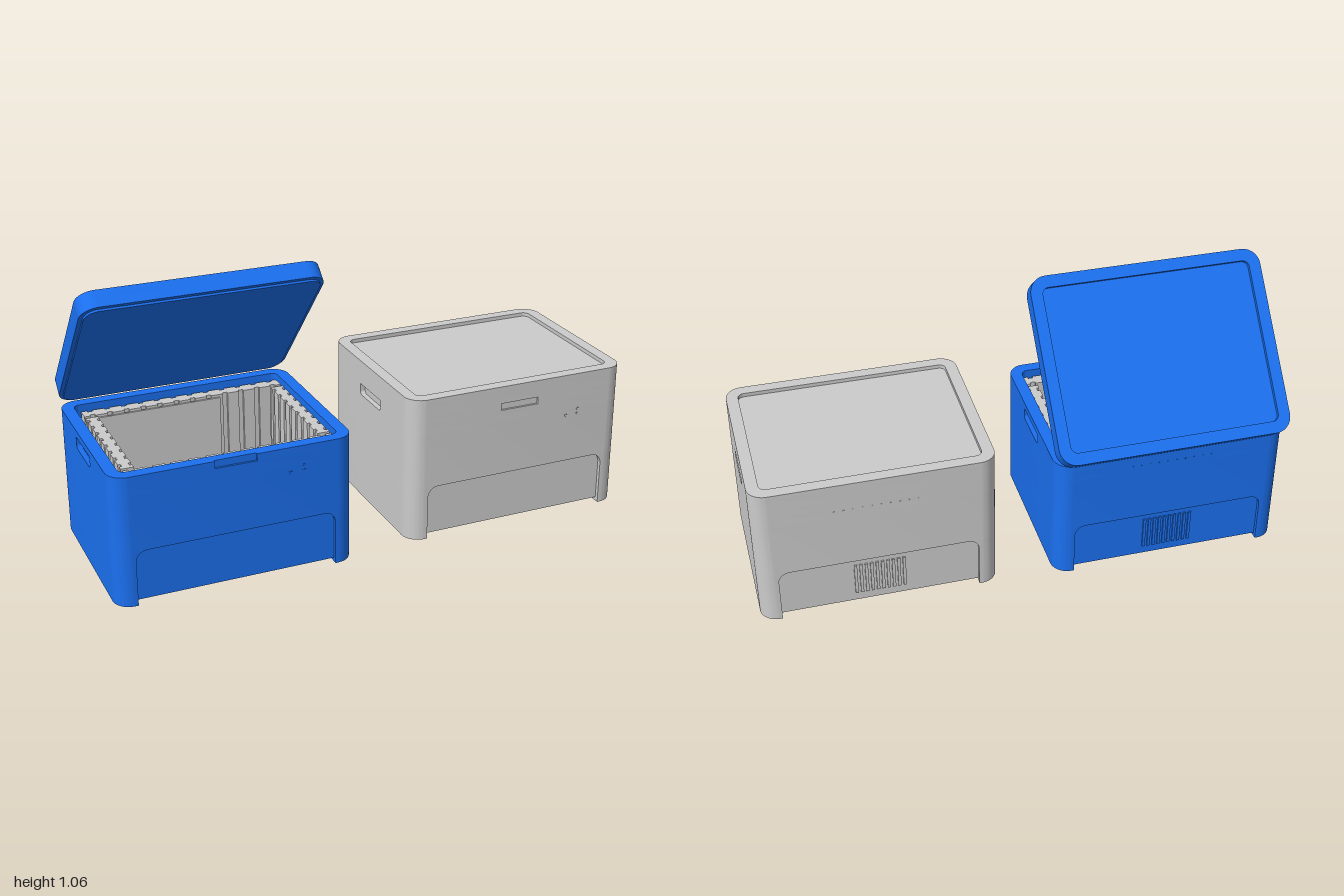
import * as THREE from 'three';
import { toCreasedNormals } from 'three/addons/utils/BufferGeometryUtils.js';

const W = 0.89, D = 0.70, R = 0.065;        // footprint and corner radius
const H = 0.495, LID = 0.067, RIM = 0.045;  // body height, lid height, rim width
const FLOOR = 0.015, PANEL_TOP = 0.21, PANEL_X = 0.37, RECESS = 0.015;
const GRIP = { y0: 0.425, y1: 0.468, half: 0.09, depth: 0.02 };

const grey = new THREE.MeshStandardMaterial({ color: 0xcccccc });
const blue = new THREE.MeshStandardMaterial({ color: 0x1b70f0 });

function add(group, name, geometry, material, x = 0, y = 0, z = 0) {
  const mesh = new THREE.Mesh(geometry, material);
  mesh.name = name;
  mesh.position.set(x, y, z);
  group.add(mesh);
  return mesh;
}

// Rounded rectangle in plan; notches are [half width, depth] cut into an edge
function outline(w, d, r, { front, back, side } = {}, Type = THREE.Shape) {
  const s = new Type(), x = w / 2, z = d / 2;
  s.moveTo(-x + r, -z);
  if (front) {
    const [h, n] = front;
    s.lineTo(-h, -z).lineTo(-h, -z + n).lineTo(h, -z + n).lineTo(h, -z);
  }
  s.absarc(x - r, -z + r, r, -Math.PI / 2, 0, false);
  if (side) {
    const [h, n] = side;
    s.lineTo(x, -h).lineTo(x - n, -h).lineTo(x - n, h).lineTo(x, h);
  }
  s.absarc(x - r, z - r, r, 0, Math.PI / 2, false);
  if (back) {
    const [h, n] = back;
    s.lineTo(h, z).lineTo(h, z - n).lineTo(-h, z - n).lineTo(-h, z);
  }
  s.absarc(-x + r, z - r, r, Math.PI / 2, Math.PI, false);
  if (side) {
    const [h, n] = side;
    s.lineTo(-x, h).lineTo(-x + n, h).lineTo(-x + n, -h).lineTo(-x, -h);
  }
  s.absarc(-x + r, -z + r, r, Math.PI, Math.PI * 1.5, false);
  return s;
}

// Extrude a plan shape upward between two heights
function layer(shape, y0, y1) {
  const g = new THREE.ExtrudeGeometry(shape, { depth: y1 - y0, bevelEnabled: false, curveSegments: 8 });
  g.rotateX(-Math.PI / 2).translate(0, y0, 0);
  return toCreasedNormals(g, 0.6);
}

function withOpening(shape) {
  shape.holes.push(outline(W - 2 * RIM, D - 2 * RIM, 0.025, {}, THREE.Path));
  return shape;
}

// Piece that rounds an inside corner of a recess
function fillet(sx, sy, r, depth) {
  const s = new THREE.Shape([new THREE.Vector2(0, 0)]);
  for (let i = 0; i <= 6; i++) {
    const a = (Math.PI / 2) * (1 - i / 6);
    s.lineTo(sx * r * (Math.cos(a) - 1), sy * r * (Math.sin(a) - 1));
  }
  return toCreasedNormals(new THREE.ExtrudeGeometry(s, { depth, bevelEnabled: false }), 0.6);
}

function body(material, open) {
  const g = new THREE.Group();
  g.name = 'body';
  const cut = open ? withOpening : (s) => s;
  const panels = { front: [PANEL_X, RECESS], back: [PANEL_X, RECESS] };

  // Stacked wall layers
  add(g, 'floor', layer(outline(W, D, R, panels), FLOOR, 0.04), material);
  add(g, 'lowerWall', layer(cut(outline(W, D, R, panels)), 0.04, PANEL_TOP), material);
  add(g, 'middleWall', layer(cut(outline(W, D, R)), PANEL_TOP, GRIP.y0), material);
  add(g, 'gripWall', layer(cut(outline(W, D, R, { side: [GRIP.half, GRIP.depth] })), GRIP.y0, GRIP.y1), material);
  add(g, 'topWall', layer(cut(outline(W, D, R, { front: [0.077, 0.008] })), GRIP.y1, H), material);

  // Runner feet along both sides
  for (const s of [-1, 1]) {
    const foot = new THREE.Shape();
    const x = W / 2, z = D / 2;
    foot.moveTo(s * PANEL_X, -z).lineTo(s * (x - R), -z);
    foot.absarc(s * (x - R), -z + R, R, -Math.PI / 2, s > 0 ? 0 : -Math.PI, s < 0);
    foot.lineTo(s * x, z - R);
    foot.absarc(s * (x - R), z - R, R, s > 0 ? 0 : Math.PI, Math.PI / 2, s < 0);
    foot.lineTo(s * PANEL_X, z);
    add(g, 'runnerFoot', layer(foot, 0, FLOOR), material);
  }

  // Rounded corners of the front and back panels and the side grips
  for (const turn of [0, Math.PI]) {
    for (const s of [-1, 1]) {
      const corner = fillet(s, 1, 0.04, RECESS).translate(s * PANEL_X, PANEL_TOP, D / 2 - RECESS);
      add(g, 'panelCorner', corner, material).rotation.y = turn;
      const grip = fillet(s, -1, 0.014, GRIP.depth).translate(s * GRIP.half, GRIP.y0, W / 2 - GRIP.depth);
      add(g, 'gripCorner', grip, material).rotation.y = turn + Math.PI / 2;
    }
  }

  // Rear ventilation slats and row of small studs
  for (let i = 0; i < 10; i++) {
    add(g, 'ventSlat', new THREE.BoxGeometry(0.011, 0.13, 0.012), material, (i - 4.5) * 0.02, 0.115, -D / 2 + RECESS);
    add(g, 'rearStud', new THREE.CylinderGeometry(0.003, 0.003, 0.004, 8).rotateX(Math.PI / 2), material,
      (i - 4.5) * 0.034, 0.45, -D / 2);
  }
  // Front control buttons
  for (const [x, y] of [[0.2, 0.4], [0.25, 0.4], [0.25, 0.42]]) {
    add(g, 'controlButton', new THREE.CylinderGeometry(0.007, 0.007, 0.004, 3).rotateX(Math.PI / 2), material, x, y, D / 2);
  }
  return g;
}

function lid(material) {
  const g = new THREE.Group();
  g.name = 'lid';
  add(g, 'lidSlab', layer(outline(W, D, R), 0, LID - 0.015), material);
  add(g, 'lidRim', layer(withOpening(outline(W, D, R)), LID - 0.015, LID), material);
  return g;
}

// Strip with square notches along both long edges
function flutedStrip(length, thick, count) {
  const s = new THREE.Shape(), p = length / count, n = 0.01;
  s.moveTo(-length / 2, -thick / 2);
  for (const side of [-1, 1]) {
    for (let i = 0; i < count; i++) {
      const x = -length / 2 + p * i, z = thick / 2;
      for (const [u, v] of [[0.35, z], [0.35, z - n], [0.65, z - n], [0.65, z], [1, z]]) {
        s.lineTo(-side * (x + p * u), side * v);
      }
    }
    s.lineTo(side * length / 2, -side * thick / 2);
    if (side < 0) s.lineTo(length / 2, thick / 2);
  }
  return s;
}

// Notched outline built clockwise-safe from two edges
function notchedShape(length, thick, count) {
  const pts = [], p = length / count, n = 0.01, z = thick / 2;
  for (let i = 0; i < count; i++) {
    for (const [u, v] of [[0, z], [0.35, z], [0.35, z - n], [0.65, z - n], [0.65, z]]) {
      pts.push(new THREE.Vector2(-length / 2 + p * (i + u), -v));
    }
  }
  pts.push(new THREE.Vector2(length / 2, -z));
  return new THREE.Shape([...pts, ...pts.map((v) => v.clone().negate())]);
}

function liner() {
  const g = new THREE.Group();
  g.name = 'liner';
  for (const s of [-1, 1]) {
    add(g, 'longLiner', layer(notchedShape(0.77, 0.05, 12), 0.01, 0.47), grey, 0.012, 0, s * 0.27);
    add(g, 'sideLiner', layer(notchedShape(0.46, 0.047, 8), 0.01, 0.47), grey, s > 0 ? 0.375 : -0.35, 0, 0)
      .rotation.y = Math.PI / 2;
  }
  add(g, 'rearLinerPlate', new THREE.BoxGeometry(0.48, 0.42, 0.008), grey, -0.09, 0.25, -0.242);
  return g;
}

export function createModel() {
  const model = new THREE.Group();
  model.name = 'coolBoxes';

  // Open box with liner and raised lid
  const openBox = new THREE.Group();
  openBox.name = 'openBox';
  openBox.position.set(-0.555, 0, 0.03);
  const raised = lid(blue);
  add(raised, 'lidPlug', layer(outline(W - 0.03, D - 0.03, 0.05), -0.008, 0), blue);
  raised.position.set(0, 0.757, -0.1225);
  raised.rotation.x = THREE.MathUtils.degToRad(-48);
  openBox.add(body(blue, true), liner(), raised);

  // Closed box
  const closedBox = new THREE.Group();
  closedBox.name = 'closedBox';
  closedBox.position.set(0.555, 0.02, 0.03);
  const shut = lid(grey);
  shut.position.y = H;
  closedBox.add(body(grey, false), shut);

  model.add(openBox, closedBox);
  return model;
}
